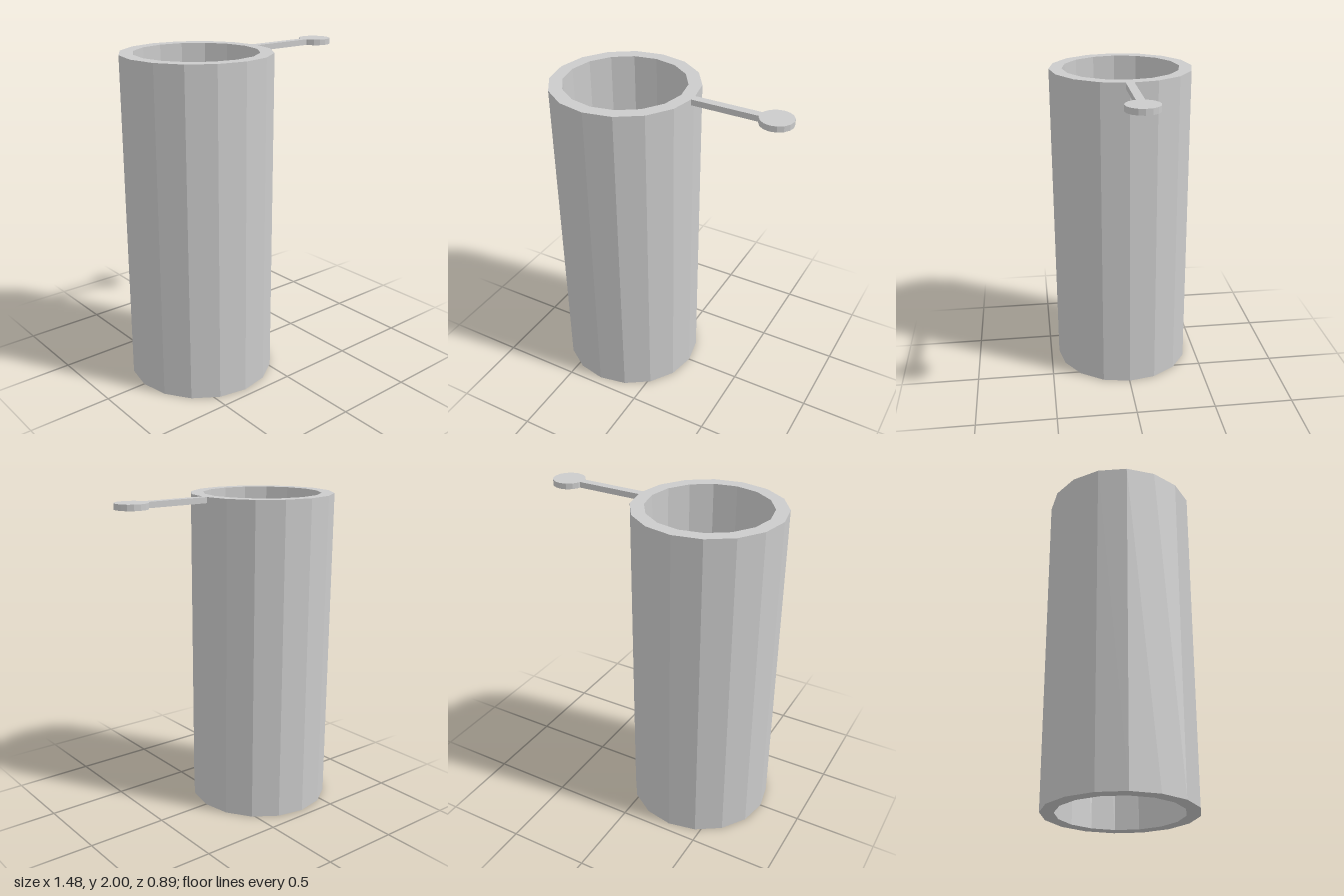
import * as THREE from 'three';

const SIDES = 16;
const HEIGHT = 2;
const TUBE = { x: -0.297, outer: 0.445, inner: 0.365 };
const DISC = { x: 0.643, radius: 0.098 };
const BAR = { half: 0.025, thickness: 0.035 };

// Corners of a regular polygon, first corner on +x
function polygon(cx, radius) {
  return Array.from({ length: SIDES }, (_, i) => {
    const a = (i / SIDES) * Math.PI * 2;
    return new THREE.Vector2(cx + radius * Math.cos(a), radius * Math.sin(a));
  });
}

// Extrude a plan outline upwards from y = bottom
function slab(name, shape, bottom, height, material) {
  const geometry = new THREE.ExtrudeGeometry(shape, { depth: height, bevelEnabled: false });
  geometry.rotateX(-Math.PI / 2);
  geometry.translate(0, bottom, 0);
  const mesh = new THREE.Mesh(geometry, material);
  mesh.name = name;
  return mesh;
}

export function createModel() {
  const group = new THREE.Group();
  group.name = 'tubeWithTab';
  const material = new THREE.MeshStandardMaterial({ color: 0xcccccc, flatShading: true });

  // Open faceted tube
  const ring = new THREE.Shape(polygon(TUBE.x, TUBE.outer));
  ring.holes.push(new THREE.Path(polygon(TUBE.x, TUBE.inner)));
  group.add(slab('tube', ring, 0, HEIGHT, material));

  // Thin bar running into a round tab, as one outline flush with the rim
  const start = TUBE.x + TUBE.outer; // rim corner the bar grows from
  const flat = BAR.half * Math.tan(Math.PI / SIDES);
  const neck = DISC.x - DISC.radius + flat;
  const disc = polygon(DISC.x, DISC.radius);
  const arc = [...disc.slice(SIDES / 2 + 1), ...disc.slice(0, SIDES / 2)];
  const outline = new THREE.Shape([
    new THREE.Vector2(start, 0),
    new THREE.Vector2(start - flat, -BAR.half),
    new THREE.Vector2(neck, -BAR.half),
    ...arc,
    new THREE.Vector2(neck, BAR.half),
    new THREE.Vector2(start - flat, BAR.half),
  ]);
  group.add(slab('handleTab', outline, HEIGHT - BAR.thickness, BAR.thickness, material));

  return group;
}
